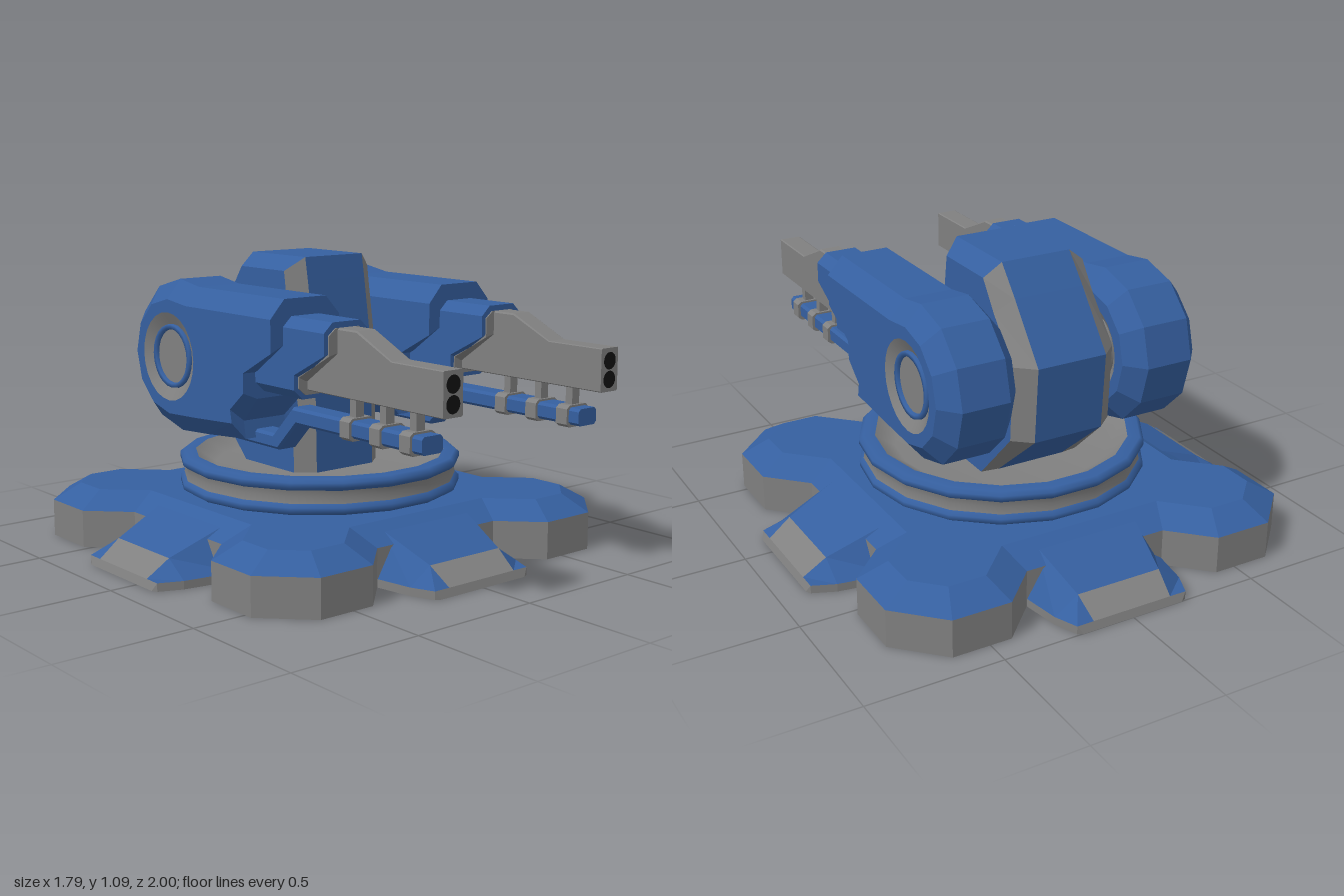
import * as THREE from 'three';
import { mergeGeometries } from 'three/addons/utils/BufferGeometryUtils.js';

const BLUE = 0x355f9f, GREY = 0x808080, BLACK = 0x111111;
const CZ = -0.107; // centre of base and turntable
const PIVOT = [-0.36, 0.715]; // arm pivot (z, y)

function mesh(geo, color, name, parent) {
  const m = new THREE.Mesh(geo, new THREE.MeshStandardMaterial({ color, side: THREE.DoubleSide }));
  m.name = name;
  parent.add(m);
  return m;
}

// Flat-faced skin between successive rings; pick(i, j) chooses edge i of band j
function loft(rings, closed = true, pick = () => true) {
  const pos = [];
  for (let j = 0; j < rings.length - 1; j++) {
    const n = rings[j].length;
    for (let i = 0; i < (closed ? n : n - 1); i++) {
      if (!pick(i, j)) continue;
      const k = (i + 1) % n, a = rings[j][i], b = rings[j][k], c = rings[j + 1][k], d = rings[j + 1][i];
      pos.push(...a, ...b, ...c, ...a, ...c, ...d);
    }
  }
  const g = new THREE.BufferGeometry();
  g.setAttribute('position', new THREE.Float32BufferAttribute(pos, 3));
  g.computeVertexNormals();
  return g;
}

// Slab across x from a (z, y) outline; its outer faces shrink by a rule to make chamfers
function slab(outline, flat, half, rule, { pick, caps = true, hole = 0 } = {}) {
  const toLocal = ([z, y]) => [-z, y];
  const full = outline.map(toLocal), small = outline.map(rule).map(toLocal);
  const ring = (pts, z) => pts.map(([x, y]) => [x, y, z]);
  const parts = [loft([ring(small, -half), ring(full, -flat), ring(full, flat), ring(small, half)], true, pick)];
  if (caps) {
    const shape = new THREE.Shape(small.map(p => new THREE.Vector2(...p)));
    if (hole) shape.holes.push(new THREE.Path().absarc(-PIVOT[0], PIVOT[1], hole, 0, Math.PI * 2, true));
    for (const s of [1, -1]) {
      const g = new THREE.ShapeGeometry(shape).translate(0, 0, s * half);
      if (s < 0) g.index.array.reverse();
      const flatCap = g.toNonIndexed();
      flatCap.deleteAttribute('uv');
      flatCap.computeVertexNormals();
      parts.push(flatCap);
    }
  }
  return mergeGeometries(parts).rotateY(Math.PI / 2);
}

// Rule that shrinks an outline towards height c
const squash = (c, f) => ([z, y]) => [z, c + (y - c) * f];

const lathe = (pts, segs, start = 0) =>
  new THREE.LatheGeometry(pts.map(p => new THREE.Vector2(...p)), segs, start);

function buildBase() {
  const g = new THREE.Group();
  g.name = 'base';
  g.position.z = CZ;
  // One lobe turned four times gives the whole outline
  const around = lobe => [0, 1, 2, 3].flatMap(k => lobe.map(([x, s]) => {
    for (let i = 0; i < k; i++) [x, s] = [-s, x];
    return [x, s];
  }));
  const outer = around([[0.66, 0.28], [0.8, 0.42], [0.8, 0.64], [0.64, 0.8], [0.42, 0.8], [0.28, 0.66]]);
  const inner = around([[0.56, 0.32], [0.7, 0.46], [0.7, 0.6], [0.6, 0.7], [0.46, 0.7], [0.32, 0.56]]);
  const ring = (pts, y) => pts.map(([x, s]) => [x, y, -s]);
  mesh(loft([ring(outer, 0), ring(outer, 0.14)]), GREY, 'baseWall', g);
  mesh(loft([ring(outer, 0.14), ring(inner, 0.2)]), BLUE, 'baseBevel', g);
  const top = new THREE.ShapeGeometry(new THREE.Shape(inner.map(p => new THREE.Vector2(...p))));
  mesh(top.rotateX(-Math.PI / 2).translate(0, 0.2, 0), BLUE, 'baseTop', g);

  // Feet: stations of reach, skirt half width, top half width, height
  const rings = [[0.6, 0.287, 0.2, 0.175], [0.8, 0.255, 0.165, 0.09], [0.885, 0.22, 0.155, 0.03], [0.895, 0.2, 0.155, 0]]
    .map(([r, wb, wt, h]) => {
      const k = Math.min(0.03, h);
      return [[wb, 0, r], [wb, k, r], [wt, h, r], [-wt, h, r], [-wb, k, r], [-wb, 0, r]];
    });
  const isGrey = (i, j) => i === 0 || i === 4 || j === 2 || (j === 1 && i === 2);
  for (let k = 0; k < 4; k++) {
    const foot = new THREE.Group();
    foot.name = 'foot';
    foot.rotation.y = k * Math.PI / 2;
    mesh(loft(rings, false, isGrey), GREY, 'footTrim', foot);
    mesh(loft(rings, false, (i, j) => !isGrey(i, j)), BLUE, 'footCover', foot);
    g.add(foot);
  }
  return g;
}

function buildTurntable() {
  const g = new THREE.Group();
  g.name = 'turntable';
  g.position.z = CZ;
  const ring = (pts, color, name) => mesh(lathe(pts, 18, Math.PI / 18), color, name, g);
  ring([[0.48, 0.2], [0.52, 0.21], [0.535, 0.22], [0.535, 0.238], [0.52, 0.25]], BLUE, 'lowerRing');
  ring([[0.52, 0.25], [0.515, 0.275], [0.52, 0.298]], GREY, 'ringGroove');
  ring([[0.52, 0.298], [0.535, 0.31], [0.535, 0.328], [0.52, 0.34], [0.475, 0.34]], BLUE, 'upperRing');
  ring([[0.475, 0.34], [0.4, 0.29], [0, 0.29]], GREY, 'dish');
  return g;
}

function buildPylon() {
  const g = new THREE.Group();
  g.name = 'pylon';
  const outline = [[0.045, 0.28], [-0.31, 0.28], [-0.57, 0.5], [-0.587, 0.78], [-0.43, 0.98],
    [-0.34, 1.085], [-0.02, 1.085], [-0.005, 1.0], [0.035, 0.74]];
  const rule = ([z, y]) => [-0.26 + (z + 0.26) * 0.82, y > 0.9 ? y - 0.05 : y];
  const isBlue = (i, j) => j === 1 || i === 5;
  mesh(slab(outline, 0.135, 0.2, rule, { pick: isBlue }), BLUE, 'pylonBody', g);
  mesh(slab(outline, 0.135, 0.2, rule, { pick: (i, j) => !isBlue(i, j), caps: false }), GREY, 'pylonEdges', g);
  mesh(new THREE.CylinderGeometry(0.13, 0.13, 0.5, 24).rotateZ(Math.PI / 2), GREY, 'axle', g)
    .position.set(0, PIVOT[1], PIVOT[0]);
  return g;
}

function buildArm(x) {
  const g = new THREE.Group();
  g.name = x > 0 ? 'leftArm' : 'rightArm';
  g.position.x = x;

  // Housing with a round rear end
  const arc = [];
  for (let i = 0; i <= 6; i++) {
    const a = (i / 6 - 0.5) * Math.PI;
    arc.push([PIVOT[0] - 0.285 * Math.cos(a), PIVOT[1] + 0.285 * Math.sin(a)]);
  }
  const housing = [[0.04, 0.46], [-0.2, 0.44], ...arc, [-0.24, 0.98], [0.27, 0.98],
    [0.27, 0.825], [0.11, 0.71], [0.11, 0.615], [0.03, 0.525]];
  const shrink = ([z, y]) => [
    z < PIVOT[0] ? PIVOT[0] + (z - PIVOT[0]) * 0.75 : z, PIVOT[1] + (y - PIVOT[1]) * 0.75];
  mesh(slab(housing, 0.09, 0.15, shrink, { hole: 0.165 }), BLUE, 'housing', g);

  // Recessed hub on both faces
  for (const s of [1, -1]) {
    const hub = new THREE.Group();
    hub.name = 'hub';
    hub.position.set(s * 0.15, PIVOT[1], PIVOT[0]);
    hub.rotation.z = -s * Math.PI / 2;
    mesh(lathe([[0.165, 0], [0.12, -0.025]], 24), GREY, 'hubBevel', hub);
    mesh(lathe([[0.12, -0.025], [0.118, -0.012], [0.103, -0.012], [0.1, -0.025]], 24), BLUE, 'hubRing', hub);
    mesh(lathe([[0.1, -0.025], [0, -0.025]], 24), GREY, 'hubDisc', hub);
    g.add(hub);
  }

  // Sleeve, its grey core and the barrel
  const sleeve = [[0.33, 0.64], [0, 0.64], [0, 0.92], [0.49, 0.92], [0.49, 0.82], [0.33, 0.71]];
  mesh(slab(sleeve, 0.06, 0.097, squash(0.78, 0.75)), BLUE, 'sleeve', g);
  const core = [[0.335, 0.655], [0.1, 0.655], [0.1, 0.9], [0.495, 0.9], [0.495, 0.815], [0.335, 0.703]];
  mesh(slab(core, 0.05, 0.08, squash(0.78, 0.8)), GREY, 'sleeveCore', g);
  const barrel = [[1, 0.67], [0.2, 0.67], [0.2, 0.9], [0.59, 0.9], [0.76, 0.82], [1, 0.82]];
  mesh(slab(barrel, 0.037, 0.042, squash(0.76, 0.96)), GREY, 'barrel', g);
  for (const y of [0.712, 0.776])
    mesh(new THREE.CircleGeometry(0.03, 20), BLACK, 'bore', g).position.set(0, y, 1.001);

  // Cranked rail below the barrel, held by three clamps
  const rail = [[0.91, 0.54], [0.27, 0.54], [0.165, 0.435], [-0.3, 0.435],
    [-0.3, 0.49], [0.14, 0.49], [0.25, 0.6], [0.91, 0.6]];
  mesh(slab(rail, 0.035, 0.045, ([z, y]) => [z, y + (y === 0.6 || y === 0.49 ? -0.01 : 0.01)]), BLUE, 'rail', g);
  for (const z of [0.84, 0.695, 0.545]) {
    const c = [[z + 0.025, 0.53], [z - 0.025, 0.53], [z - 0.025, 0.607], [z + 0.025, 0.607]];
    mesh(slab(c, 0.04, 0.055, squash(0.568, 0.7)), GREY, 'clamp', g);
    mesh(new THREE.BoxGeometry(0.036, 0.09, 0.03), GREY, 'clampPost', g).position.set(0, 0.64, z);
  }
  return g;
}

export function createModel() {
  const model = new THREE.Group();
  model.name = 'turret';
  model.add(buildBase(), buildTurntable(), buildPylon(), buildArm(0.365), buildArm(-0.365));
  return model;
}
